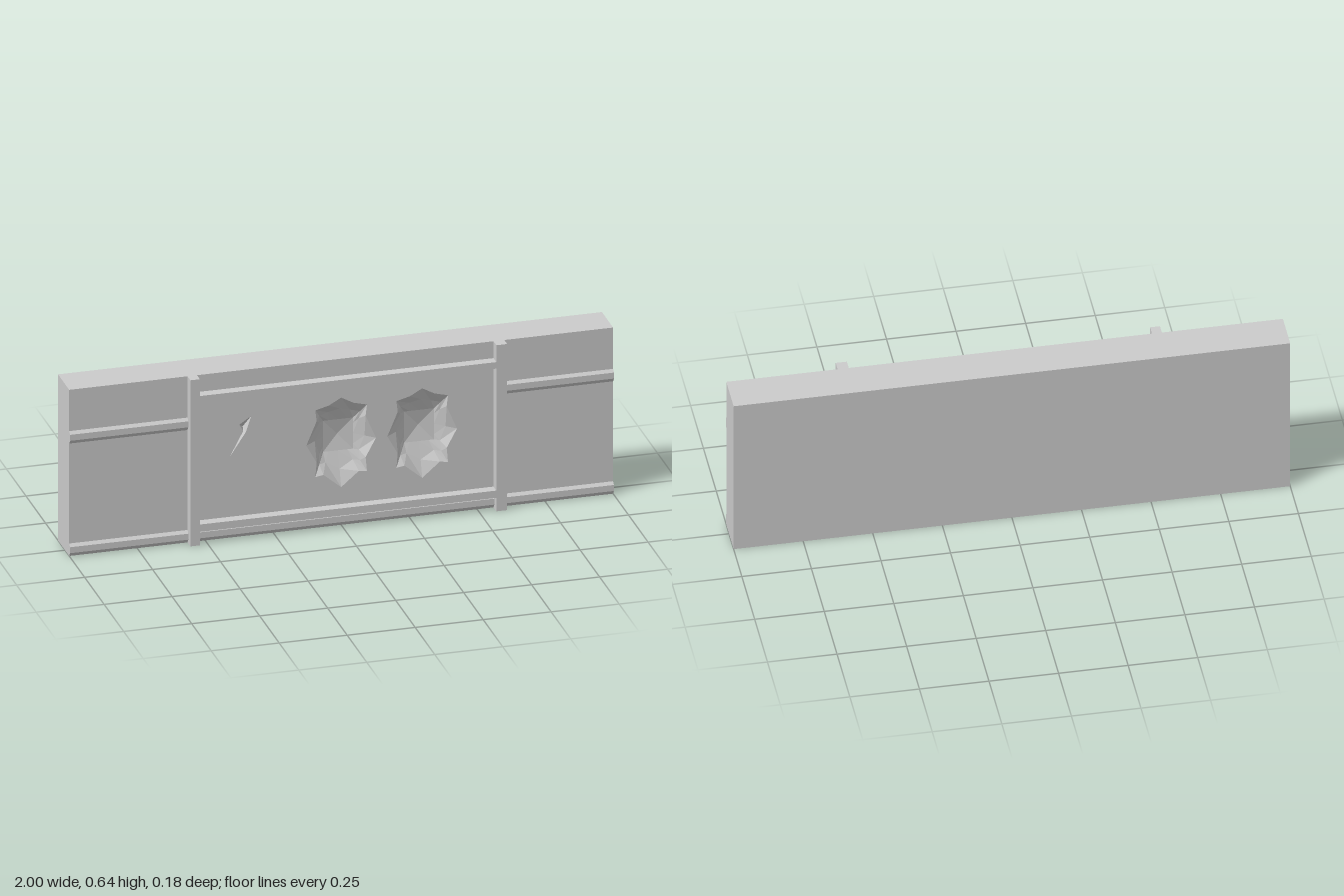
import * as THREE from 'three';

const FACE = 0.053, FRONT = 0.09, BACK = -0.09, HEIGHT = 0.64;

export function createModel() {
  const group = new THREE.Group();
  const mat = new THREE.MeshStandardMaterial({ color: 0xcccccc, flatShading: true });
  const add = (name, geo) => {
    const mesh = new THREE.Mesh(geo, mat);
    mesh.name = name;
    group.add(mesh);
    return mesh;
  };
  const box = (name, x0, x1, y0, y1, z0, z1) =>
    add(name, new THREE.BoxGeometry(x1 - x0, y1 - y0, z1 - z0))
      .position.set((x0 + x1) / 2, (y0 + y1) / 2, (z0 + z1) / 2);

  // Right half of a gem-shaped dent, top to bottom, mirrored to a full outline
  const half = [[0, 0.49], [0.045, 0.465], [0.095, 0.452], [0.09, 0.41], [0.128, 0.32],
    [0.09, 0.25], [0.095, 0.195], [0.065, 0.2], [0, 0.145]];
  const full = [...half, ...half.slice(1, -1).reverse().map(([x, y]) => [-x, y])];
  // Matching points around the deeper floor of the dent
  const halfFloor = [[0, 0.39], [0.035, 0.39], [0.055, 0.39], [0.055, 0.37], [0.055, 0.33],
    [0.055, 0.29], [0.055, 0.27], [0.035, 0.27], [0, 0.27]];
  const fullFloor = [...halfFloor, ...halfFloor.slice(1, -1).reverse().map(([x, y]) => [-x, y])];
  const sliver = [[-0.33, 0.46], [-0.35, 0.4], [-0.41, 0.31], [-0.36, 0.405], [-0.375, 0.43]];
  const at = (pts, dx) => pts.map(([x, y]) => [x + dx, y]);
  const dents = [0, 0.298].map(dx => at(full, dx));

  // Slab: solid back with a pierced front layer
  const split = -0.01;
  box('slabBack', -1, 1, 0, HEIGHT, BACK, split);
  const face = new THREE.Shape([[-1, 0], [1, 0], [1, HEIGHT], [-1, HEIGHT]].map(p => new THREE.Vector2(...p)));
  for (const o of [...dents, sliver]) face.holes.push(new THREE.Path(o.map(p => new THREE.Vector2(...p))));
  const faceGeo = new THREE.ExtrudeGeometry(face, { depth: FACE - split, bevelEnabled: false });
  add('slabFace', faceGeo.translate(0, 0, split));

  // Facets between clockwise rings of [x, y, z], closed by a centre point
  const facets = (name, rings, centre) => {
    const v = [];
    const n = rings[0].length;
    for (let i = 0; i < n; i++) {
      const j = (i + 1) % n;
      for (let r = 0; r + 1 < rings.length; r++) {
        const [a, b] = [rings[r], rings[r + 1]];
        v.push(...a[i], ...b[j], ...a[j], ...a[i], ...b[i], ...b[j]);
      }
      const last = rings[rings.length - 1];
      v.push(...last[i], ...centre, ...last[j]);
    }
    const geo = new THREE.BufferGeometry();
    geo.setAttribute('position', new THREE.Float32BufferAttribute(v, 3));
    geo.computeVertexNormals();
    add(name, geo);
  };
  dents.forEach((outline, k) => {
    const floor = at(fullFloor, k * 0.298);
    const mid = outline.map(([x, y], i) => [(x + floor[i][0]) / 2, (y + floor[i][1]) / 2, i % 2 ? 0.025 : 0.033]);
    facets('gemDent', [outline.map(p => [...p, FACE]), mid, floor.map(p => [...p, 0.012])],
      [k * 0.298, 0.33, 0]);
  });
  facets('sliverDent', [sliver.map(p => [...p, FACE])], [-0.357, 0.415, 0.035]);

  // Raised frame: two posts joined by two rails
  box('postRight', -0.565, -0.53, 0, HEIGHT, FACE, FRONT);
  box('postLeft', 0.56, 0.6, 0, HEIGHT, FACE, FRONT);
  box('railTop', -0.53, 0.56, 0.55, 0.575, FACE, FRONT);
  box('railBottom', -0.53, 0.56, 0.052, 0.08, FACE, FRONT);

  // Chamfered horizontal mouldings, extruded along x
  const moulding = (name, x0, x1, y) => {
    const s = new THREE.Shape([[-FACE, 0], [-FACE, 0.048], [-0.064, 0.038], [-0.064, 0.015]]
      .map(([a, b]) => new THREE.Vector2(a, b + y)));
    const geo = new THREE.ExtrudeGeometry(s, { depth: x1 - x0, bevelEnabled: false });
    add(name, geo.rotateY(Math.PI / 2).translate(x0, 0, 0));
  };
  moulding('baseMoulding', -1, 1, 0);
  moulding('upperMouldingRight', -1, -0.565, 0.433);
  moulding('upperMouldingLeft', 0.6, 1, 0.433);
  return group;
}
